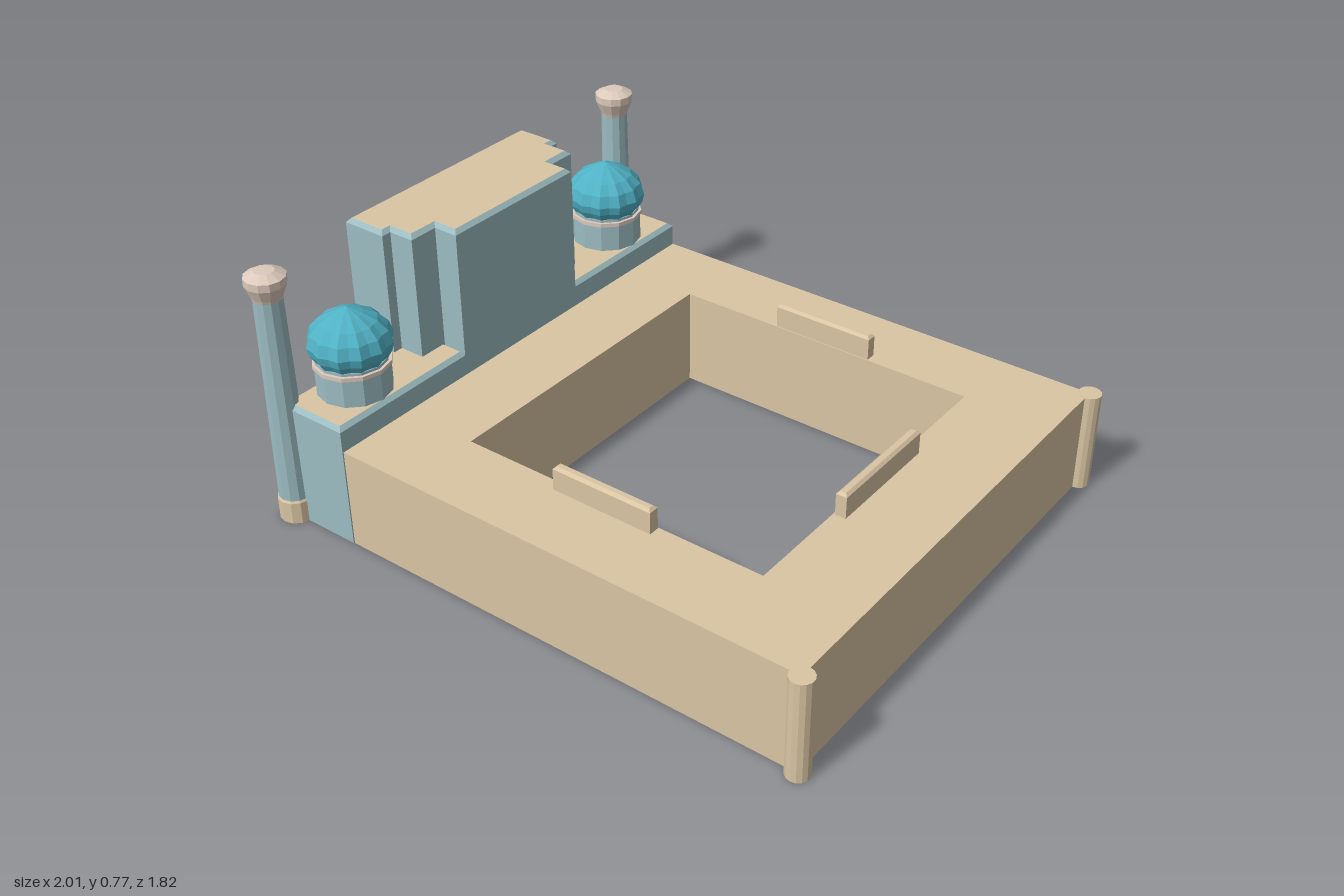
import * as THREE from 'three';

const mat = (name, color, extra = {}) => {
  const m = new THREE.MeshStandardMaterial({ color, ...extra });
  m.name = name;
  return m;
};

export function createModel() {
  const sand = mat('sand brick', 0xd9c5a3, { side: THREE.DoubleSide, flatShading: true });
  const blue = mat('pale blue tile', 0x9cbcc1, { side: THREE.DoubleSide, flatShading: true });
  const turquoise = mat('turquoise dome', 0x50b2c5, { flatShading: true });
  const stone = mat('light stone', 0xdccabc, { flatShading: true });
  const teal = mat('teal panel', 0x7aa6ac);
  const taupe = mat('taupe border', 0xc2ad9b);
  const slate = mat('slate recess', 0x6a768a);

  const building = new THREE.Group();
  building.name = 'courtyardBuilding';
  building.rotation.y = 0.1985;

  const add = (name, geo, material, x = 0, y = 0, z = 0, parent = building) => {
    const mesh = new THREE.Mesh(geo, material);
    mesh.name = name;
    mesh.position.set(x, y, z);
    parent.add(mesh);
    return mesh;
  };
  const poly = pts => new THREE.Shape(pts.map(p => new THREE.Vector2(p[0], p[1])));
  const rect = (x0, y0, x1, y1) => [[x0, y0], [x1, y0], [x1, y1], [x0, y1]];

  // Upright prism from a ground plan [x, z]: chamfered top edge, open underneath
  const prism = (name, plan, h, side, top, bevel = 0.012) => {
    const g = new THREE.ExtrudeGeometry(poly(plan.map(([x, z]) => [x, -z])), {
      depth: h - bevel, bevelEnabled: true, bevelSegments: 1,
      bevelThickness: bevel, bevelSize: bevel, bevelOffset: -bevel,
    }).rotateX(-Math.PI / 2);
    const p = g.attributes.position.array;
    const sides = [], lid = [];
    for (let i = 0; i < p.length; i += 9) {
      const tri = Array.from(p.slice(i, i + 9));
      for (const k of [1, 4, 7]) tri[k] = Math.max(0, tri[k]);
      const ySum = tri[1] + tri[4] + tri[7];
      if (ySum < 1e-5) continue;
      (ySum > 3 * h - 1e-4 ? lid : sides).push(...tri);
    }
    const out = new THREE.BufferGeometry();
    out.setAttribute('position', new THREE.Float32BufferAttribute([...sides, ...lid], 3));
    out.computeVertexNormals();
    out.addGroup(0, sides.length / 3, 0);
    out.addGroup(sides.length / 3, lid.length / 3, 1);
    return add(name, out, [side, top]);
  };

  // Hollow gallery around the court: flat roof plus outer and inner walls
  const H = 0.3;
  const outer = rect(-0.598, -0.726, 0.846, 0.707);
  const inner = rect(-0.365, -0.503, 0.577, 0.469);
  const roof = poly(outer.map(([x, z]) => [x, -z]));
  roof.holes.push(new THREE.Path(inner.map(([x, z]) => new THREE.Vector2(x, -z))));
  add('galleryRoof', new THREE.ShapeGeometry(roof).rotateX(-Math.PI / 2), sand, 0, H, 0);
  const walls = (name, loop, facing) => loop.forEach(([x0, z0], i) => {
    const [x1, z1] = loop[(i + 1) % 4];
    const w = add(name, new THREE.PlaneGeometry(Math.hypot(x1 - x0, z1 - z0), H), sand,
      (x0 + x1) / 2, H / 2, (z0 + z1) / 2);
    w.rotation.y = -Math.atan2(z1 - z0, x1 - x0) + facing;
  });
  walls('outerWall', outer, Math.PI);
  walls('courtWall', inner, 0);

  // Raised panels at the middle of three court sides
  prism('courtPanelBack', rect(-0.05, -0.537, 0.262, -0.506), 0.372, sand, sand, 0.008);
  prism('courtPanelFront', rect(-0.05, 0.472, 0.262, 0.503), 0.372, sand, sand, 0.008);
  prism('courtPanelRight', rect(0.582, -0.194, 0.614, 0.162), 0.372, sand, sand, 0.008);

  // Round buttresses at the far corners
  for (const z of [-0.726, 0.706])
    add('cornerButtress', new THREE.CylinderGeometry(0.033, 0.033, H + 0.001, 14), sand, 0.846, (H + 0.001) / 2, z);

  // Gate side
  const C = -0.01;
  const half = [[-0.893, 0.36], [-0.755, 0.36], [-0.755, 0.33], [-0.676, 0.33], [-0.676, 0.24], [-0.6, 0.24]];
  const plan = [...half.map(([x, z]) => [x, C + z]), ...half.slice().reverse().map(([x, z]) => [x, C - z])];
  prism('portalBlock', plan, 0.75, blue, sand);
  prism('wingFront', rect(-0.817, C + 0.235, -0.6, 0.709), 0.373, blue, sand);
  prism('wingBack', rect(-0.817, -0.728, -0.6, C - 0.235), 0.373, blue, sand);

  // Thin plates on the gate face, drawn in (z, y)
  const plate = (name, shape, depth, material, x, z = C) => add(name,
    new THREE.ExtrudeGeometry(shape, { depth, bevelEnabled: false, curveSegments: 10 })
      .rotateY(-Math.PI / 2), material, x, 0, z);
  const arch = (w, spring, apex) => {
    const s = new THREE.Shape();
    s.moveTo(-w, 0.002);
    s.lineTo(w, 0.002);
    s.lineTo(w, spring);
    s.quadraticCurveTo(w * 0.85, spring + (apex - spring) * 0.62, 0, apex);
    s.quadraticCurveTo(-w * 0.85, spring + (apex - spring) * 0.62, -w, spring);
    return s;
  };
  plate('portalBorder', poly(rect(-0.31, 0.002, 0.31, 0.70)), 0.002, taupe, -0.893);
  plate('portalPanel', poly(rect(-0.265, 0.002, 0.265, 0.665)), 0.004, teal, -0.893);
  plate('archBorder', arch(0.2, 0.36, 0.66), 0.006, taupe, -0.893);
  plate('archRecess', arch(0.16, 0.36, 0.628), 0.008, slate, -0.893);

  // Mirrored wing details: windows, dome and minaret
  const ribbedDome = () => {
    const profile = [[0.098, 0], [0.113, 0.025], [0.119, 0.05], [0.108, 0.085], [0.082, 0.113], [0.045, 0.134], [0, 0.153]];
    const g = new THREE.LatheGeometry(profile.map(p => new THREE.Vector2(...p)), 24);
    const p = g.attributes.position;
    // Pull in every second meridian to form the pleats
    for (let i = 0; i < p.count; i++) {
      const k = Math.floor(i / profile.length) % 2 ? 0.93 : 1;
      p.setX(i, p.getX(i) * k);
      p.setZ(i, p.getZ(i) * k);
    }
    g.computeVertexNormals();
    return g;
  };
  const lathe = (pts, n) => new THREE.LatheGeometry(pts.map(p => new THREE.Vector2(...p)), n);

  for (const s of [1, -1]) {
    plate('wingPanel', poly(rect(-0.13, 0.03, 0.13, 0.335)), 0.003, teal, -0.817, C + s * 0.51);
    for (const dz of [-0.06, 0.06])
      for (const y of [0.05, 0.195])
        plate('wingWindow', poly(rect(-0.045, y, 0.045, y + 0.12)), 0.006, slate, -0.817, C + s * 0.51 + dz);

    const dome = new THREE.Group();
    dome.name = 'domeTower';
    dome.position.set(-0.715, 0.372, -0.002 + s * 0.54);
    building.add(dome);
    add('drum', new THREE.CylinderGeometry(0.105, 0.105, 0.085, 12), blue, 0, 0.0425, 0, dome);
    add('drumRing', new THREE.CylinderGeometry(0.109, 0.109, 0.012, 12), stone, 0, 0.089, 0, dome);
    add('domeNeck', new THREE.CylinderGeometry(0.1, 0.1, 0.01, 12), blue, 0, 0.098, 0, dome);
    add('ribbedDome', ribbedDome(), turquoise, 0, 0.1, 0, dome);

    const minaret = new THREE.Group();
    minaret.name = 'minaret';
    minaret.position.set(-0.822, 0, C + s * 0.713);
    building.add(minaret);
    add('minaretBase', lathe([[0, 0], [0.051, 0], [0.051, 0.066], [0.046, 0.074]], 12), sand, 0, 0, 0, minaret);
    add('minaretShaft', lathe([[0.047, 0.07], [0.04, 0.7]], 12), blue, 0, 0, 0, minaret);
    add('minaretCap', lathe([[0.04, 0.69], [0.043, 0.7], [0.057, 0.735], [0.057, 0.757], [0.028, 0.772], [0, 0.773]], 12),
      stone, 0, 0, 0, minaret);
  }

  const model = new THREE.Group();
  model.name = 'domedCourtyardComplex';
  model.add(building);
  return model;
}
